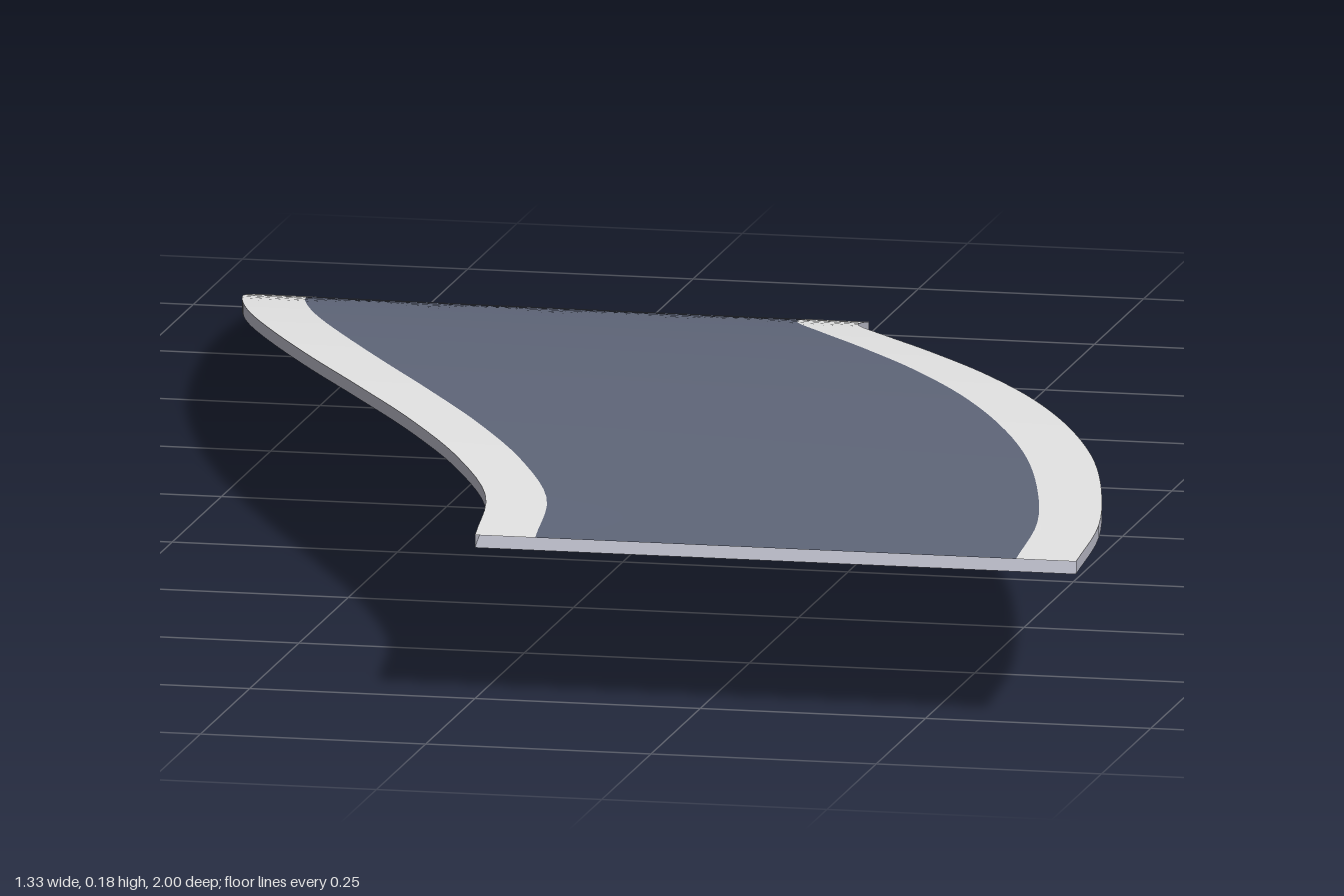
import * as THREE from 'three';

const SEGMENTS = 48;
const THICKNESS = 0.014;

// Plan of the +x edge at equal steps of z from -1 to 1; the other edge is its point mirror
const edgeX = [0, 0.032, 0.107, 0.202, 0.304, 0.401, 0.485, 0.555, 0.608, 0.648, 0.667];
const edge = new THREE.CatmullRomCurve3(
  edgeX.map((x, i) => new THREE.Vector3(x, 0, -1 + i * 0.2)), false, 'catmullrom', 0.5);

// Point on the slab: s runs across (0 = -x edge, 1 = +x edge), t runs from back to front
function slabPoint(s, t, top) {
  const z = -1 + 2 * t;
  const right = edge.getPoint(t).x;
  const left = -edge.getPoint(1 - t).x;
  const rise = 0.167 * (1 - Math.pow(1 - t, 2.6));
  const bank = 0.012 * (0.5 - s) * (1 - z * z);
  return [left + (right - left) * s, rise + bank + (top ? THICKNESS : 0), z];
}

// Grid surface from a function of (u, v); its front looks along dv x du
function sheet(name, material, nu, nv, fn) {
  const positions = [], index = [];
  for (let j = 0; j <= nv; j++)
    for (let i = 0; i <= nu; i++) positions.push(...fn(i / nu, j / nv));
  for (let j = 0; j < nv; j++)
    for (let i = 0; i < nu; i++) {
      const a = j * (nu + 1) + i, b = a + 1, c = a + nu + 1, d = c + 1;
      index.push(a, c, b, b, c, d);
    }
  const geometry = new THREE.BufferGeometry();
  geometry.setAttribute('position', new THREE.Float32BufferAttribute(positions, 3));
  geometry.setIndex(index);
  geometry.computeVertexNormals();
  const mesh = new THREE.Mesh(geometry, material);
  mesh.name = name;
  return mesh;
}

// The shell is open at both ends, so its sheets show from both sides
function flatColour(name, color) {
  const material = new THREE.MeshStandardMaterial({ color, side: THREE.DoubleSide });
  material.name = name;
  return material;
}

export function createModel() {
  const asphalt = flatColour('asphalt', 0x5f6679);
  const kerb = flatColour('kerb', 0xe4e4e4);
  const concrete = flatColour('concrete', 0xb4b5c1);

  const model = new THREE.Group();
  model.name = 'curvedRoadRamp';

  // Top surface: kerb, road, kerb
  const band = (name, material, s0, s1) => model.add(
    sheet(name, material, 4, SEGMENTS, (u, v) => slabPoint(s0 + (s1 - s0) * u, v, true)));
  band('rightKerb', kerb, 0, 0.1);
  band('roadSurface', asphalt, 0.1, 0.9);
  band('leftKerb', kerb, 0.9, 1);

  // Underside
  model.add(sheet('underside', concrete, 4, SEGMENTS, (u, v) => slabPoint(1 - u, v, false)));

  // Long side walls
  model.add(sheet('rightWall', concrete, 1, SEGMENTS, (u, v) => slabPoint(0, v, u > 0.5)));
  model.add(sheet('leftWall', concrete, 1, SEGMENTS, (u, v) => slabPoint(1, v, u < 0.5)));

  return model;
}
